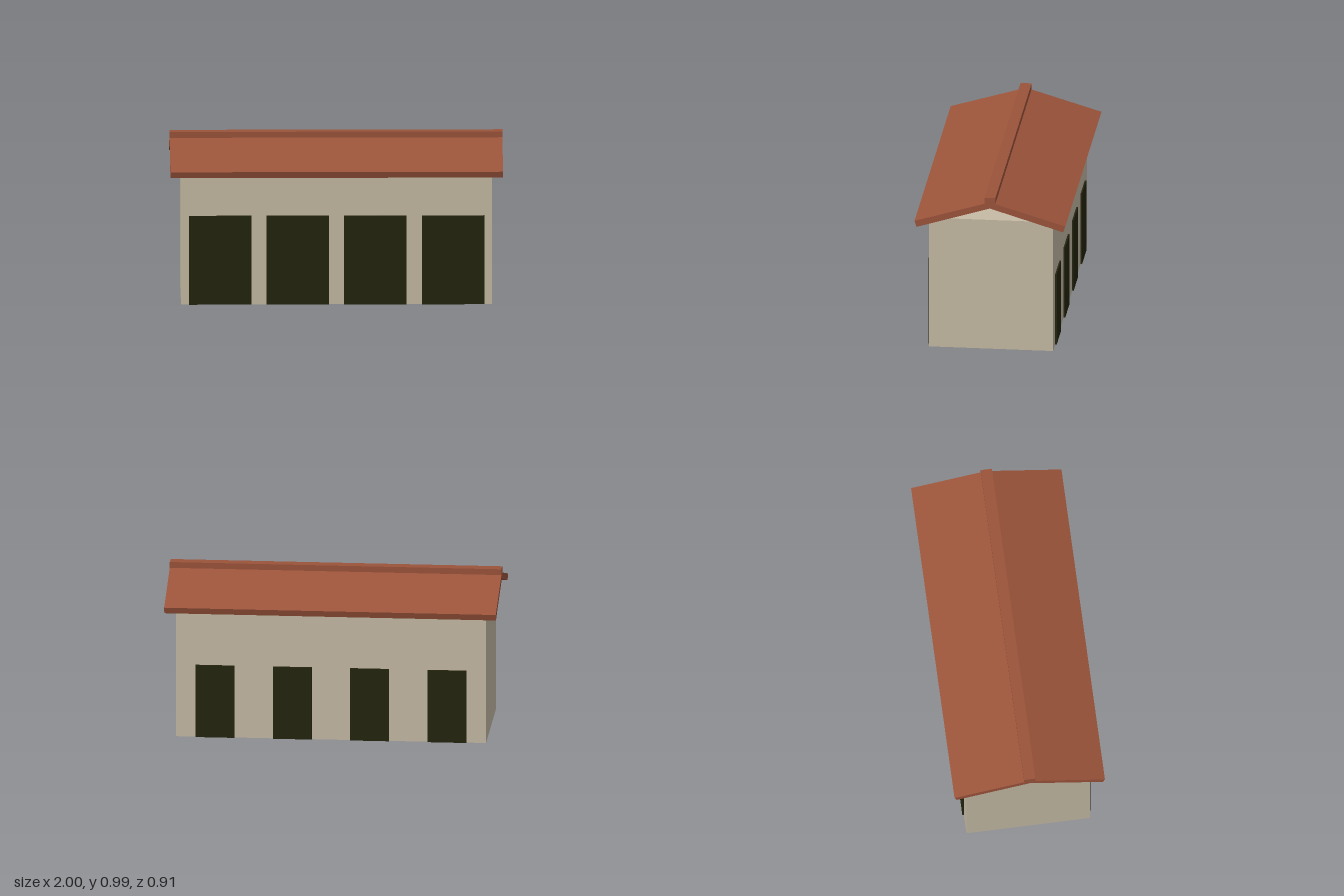
import * as THREE from 'three';

const WALL_HALF = 0.935, DEPTH_HALF = 0.375, WALL_H = 0.825, THICK = 0.09;
const BAYS = [-0.7, -0.233, 0.233, 0.7];

export function createModel() {
  const plaster = new THREE.MeshStandardMaterial({ color: 0xc6bba5 });
  plaster.name = 'plaster';
  const tile = new THREE.MeshStandardMaterial({ color: 0x9c543b });
  tile.name = 'roofTile';
  const dark = new THREE.MeshStandardMaterial({ color: 0x24240f });
  dark.name = 'darkDoor';

  const model = new THREE.Group();
  model.name = 'arcadedBuilding';

  const add = (name, geometry, material, x = 0, y = 0, z = 0) => {
    const mesh = new THREE.Mesh(geometry, material);
    mesh.name = name;
    mesh.position.set(x, y, z);
    model.add(mesh);
    return mesh;
  };
  const box = (name, w, h, d, material, x, y, z) =>
    add(name, new THREE.BoxGeometry(w, h, d), material, x, y, z);

  // Long wall with a row of arched openings reaching the ground
  const archedWall = (name, openingWidth, openingHeight, z) => {
    const r = openingWidth / 2;
    const s = new THREE.Shape();
    s.moveTo(-WALL_HALF, 0);
    for (const x of BAYS) {
      s.lineTo(x - r, 0);
      s.lineTo(x - r, openingHeight - r);
      s.absarc(x, openingHeight - r, r, Math.PI, 0, true);
      s.lineTo(x + r, 0);
    }
    s.lineTo(WALL_HALF, 0);
    s.lineTo(WALL_HALF, WALL_H);
    s.lineTo(-WALL_HALF, WALL_H);
    s.closePath();
    add(name, new THREE.ExtrudeGeometry(s, { depth: THICK, bevelEnabled: false, curveSegments: 16 }),
      plaster, 0, 0, z);
  };
  archedWall('frontWall', 0.376, 0.54, DEPTH_HALF - THICK);
  archedWall('backWall', 0.23, 0.445, -DEPTH_HALF);

  // End walls and ceiling
  const innerDepth = 2 * (DEPTH_HALF - THICK);
  for (const side of [-1, 1]) {
    box(side > 0 ? 'leftWall' : 'rightWall', THICK, WALL_H, innerDepth, plaster,
      side * (WALL_HALF - THICK / 2), WALL_H / 2, 0);
  }
  box('ceiling', 2 * (WALL_HALF - THICK), 0.05, innerDepth, plaster, 0, WALL_H - 0.025, 0);

  // Dark panels closing each opening
  const t = 0.0095;
  for (const x of BAYS) {
    box('frontDoor', 0.376, 0.543, t, dark, x, 0.2715, DEPTH_HALF + t / 2);
    box('backDoor', 0.234, 0.45, t, dark, x, 0.225, -DEPTH_HALF - t / 2);
  }

  // Two roof slopes, each a slab section run along the building
  for (const side of [1, -1]) {
    const section = new THREE.Shape([
      [0, 0.922], [0.443, 0.787], [0.456, 0.825], [0, 0.961],
    ].map(([z, y]) => new THREE.Vector2(-side * z, y)));
    const slope = new THREE.ExtrudeGeometry(section, { depth: 2, bevelEnabled: false });
    slope.translate(0, 0, -1).rotateY(Math.PI / 2);
    add(side > 0 ? 'frontRoofSlope' : 'backRoofSlope', slope, tile);
  }
  box('ridgeCap', 2, 0.036, 0.067, tile, 0, 0.972, 0);

  return model;
}
